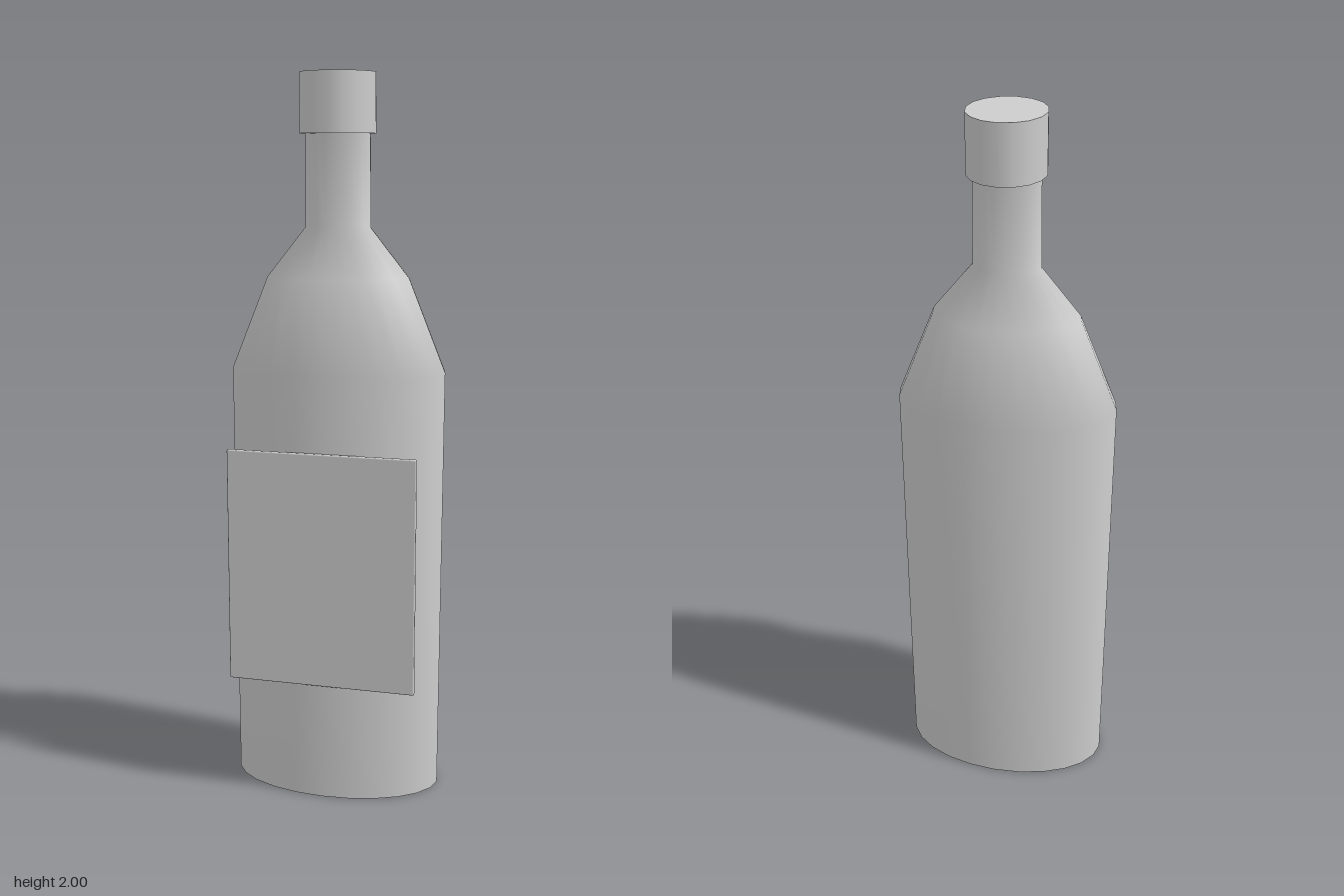
import * as THREE from 'three';
import { RoundedBoxGeometry } from 'three/addons/geometries/RoundedBoxGeometry.js';

const SIDES = 24;
const CENTRE_Z = -0.006;
const FLATTEN = 0.6; // depth of the bottle relative to its width

export function createModel() {
  const group = new THREE.Group();
  const grey = new THREE.MeshStandardMaterial({ color: 0xcccccc });
  grey.name = 'plain grey';

  const add = (name, geometry, parent = group) => {
    const mesh = new THREE.Mesh(geometry, grey);
    mesh.name = name;
    parent.add(mesh);
    return mesh;
  };

  // Flattened bottle: straight body, two-step shoulder, narrow neck
  const bottle = new THREE.Group();
  bottle.name = 'bottle';
  bottle.position.z = CENTRE_Z;
  bottle.scale.z = FLATTEN;
  group.add(bottle);

  const profile = [
    [0.297, 0], [0.303, 1.2], [0.2, 1.455], [0.092, 1.59], [0.09, 1.85],
  ].map(([r, y]) => new THREE.Vector2(r, y));
  add('bottleBody', new THREE.LatheGeometry(profile, SIDES), bottle);

  // Flat underside
  add('bottleBase', new THREE.CircleGeometry(0.297, SIDES).rotateX(Math.PI / 2), bottle);

  // Cap, slightly deeper than wide
  const cap = add('cap', new THREE.CylinderGeometry(0.104, 0.104, 0.16, 16));
  cap.position.set(0, 1.92, CENTRE_Z);
  cap.scale.z = 1.08;

  // Flat label board touching the front
  const label = add('label', new RoundedBoxGeometry(0.53, 0.66, 0.013, 2, 0.004));
  label.position.set(0, 0.665, 0.179);

  return group;
}
